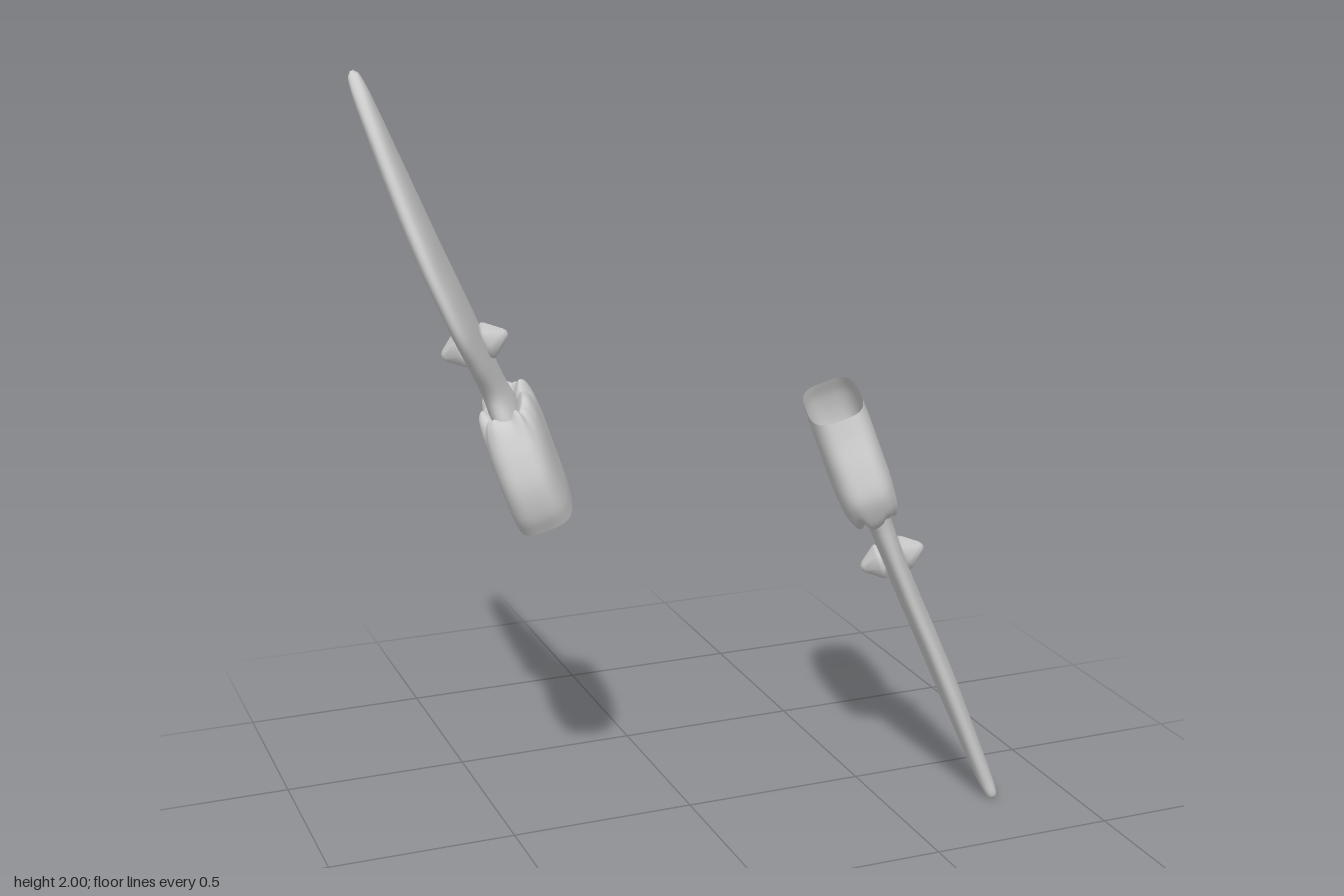
import * as THREE from 'three';

const material = new THREE.MeshStandardMaterial({ color: 0xcccccc, side: THREE.DoubleSide });

// Loft of closed sections along y. Row: [y, zMin, zMax, half thickness, x offset, ruffle]
function loft(rows, steps, sides, power) {
  const outline = new THREE.CatmullRomCurve3(rows.map(r => new THREE.Vector3(r[1], r[0], r[2])));
  const body = new THREE.CatmullRomCurve3(rows.map(r => new THREE.Vector3(r[3], r[4], r[5])), false, 'catmullrom', 0.4);
  const pos = [], index = [];
  const bulge = v => Math.sign(v) * Math.pow(Math.abs(v), power);
  for (let i = 0; i <= steps; i++) {
    const o = outline.getPoint(i / steps), b = body.getPoint(i / steps);
    for (let j = 0; j < sides; j++) {
      const a = (j / sides) * Math.PI * 2;
      const ruffle = b.z * (Math.sin(a * 7) + 0.6 * Math.sin(a * 11 + 1));
      pos.push(
        b.y + b.x * bulge(Math.cos(a)) * (1 + ruffle * 8),
        o.y + ruffle,
        (o.x + o.z) / 2 + ((o.z - o.x) / 2) * bulge(Math.sin(a))
      );
      if (i < steps) {
        const p = i * sides + j, q = i * sides + ((j + 1) % sides);
        index.push(p, p + sides, q, q, p + sides, q + sides);
      }
    }
  }
  const g = new THREE.BufferGeometry();
  g.setAttribute('position', new THREE.Float32BufferAttribute(pos, 3));
  g.setIndex(index);
  g.computeVertexNormals();
  return g;
}

function part(geometry, name) {
  const m = new THREE.Mesh(geometry, material);
  m.name = name;
  return m;
}

// One blade with its cuff; bow is the side the blade leans towards
function armBlade(name, bow) {
  const group = new THREE.Group();
  group.name = name;

  // Thin tapered blade with a straight back and a curved cutting edge
  group.add(part(loft([
    [0.25, -0.13, -0.10, 0.003, 0, 0],
    [0.26, -0.225, 0.00, 0.036, bow * 0.005, 0],
    [0.34, -0.228, -0.015, 0.032, bow * 0.01, 0],
    [0.44, -0.233, 0.03, 0.03, bow * 0.013, 0],
    [0.53, -0.238, 0.066, 0.03, bow * 0.017, 0],
    [0.60, -0.242, 0.069, 0.03, bow * 0.021, 0],
    [0.73, -0.25, 0.042, 0.03, bow * 0.03, 0],
    [0.87, -0.26, -0.02, 0.029, bow * 0.038, 0],
    [1.03, -0.268, -0.108, 0.025, bow * 0.045, 0],
    [1.13, -0.273, -0.182, 0.021, bow * 0.05, 0],
    [1.175, -0.275, -0.23, 0.015, bow * 0.053, 0],
    [1.19, -0.265, -0.25, 0.003, bow * 0.054, 0],
  ], 66, 32, 0.85), 'blade'));

  // Hollow cuff, open at the bottom, with a ruffled lip around the blade
  group.add(part(loft([
    [0.00, -0.198, 0.085, 0.074, 0, 0],
    [0.05, -0.218, 0.102, 0.077, 0, 0],
    [0.13, -0.257, 0.104, 0.077, 0, 0],
    [0.20, -0.28, 0.08, 0.077, 0, 0],
    [0.25, -0.272, 0.052, 0.074, 0, 0.002],
    [0.282, -0.256, 0.03, 0.065, 0, 0.006],
    [0.295, -0.235, 0.008, 0.05, 0, 0.007],
    [0.275, -0.215, -0.01, 0.03, 0, 0.002],
  ], 40, 72, 0.6), 'cuff'));

  // Blunt eight-sided cone stud on each face
  const profile = [[0, 0.018], [0.04, 0.022], [0.051, 0.034], [0.047, 0.043], [0.017, 0.08], [0.009, 0.087], [0, 0.089]]
    .map(p => new THREE.Vector2(...p));
  for (const side of [-1, 1]) {
    const stud = part(new THREE.LatheGeometry(profile, 8), 'stud');
    stud.position.set(bow * 0.012, 0.465, -0.107);
    stud.rotation.z = -side * Math.PI / 2;
    group.add(stud);
  }
  return group;
}

export function createModel() {
  const model = new THREE.Group();
  model.name = 'armBlades';
  const tilt = THREE.MathUtils.degToRad(20.5);
  const yaw = THREE.MathUtils.degToRad(-17);

  const raised = armBlade('raisedBlade', -1);
  raised.position.set(-0.397, 0.875, 0);
  raised.rotation.set(0, yaw, tilt, 'ZYX');

  // The second blade points the opposite way
  const lowered = armBlade('loweredBlade', 1);
  lowered.position.set(0.397, 1.125, 0);
  lowered.rotation.set(Math.PI, yaw, tilt, 'ZYX');

  model.add(raised, lowered);
  return model;
}
